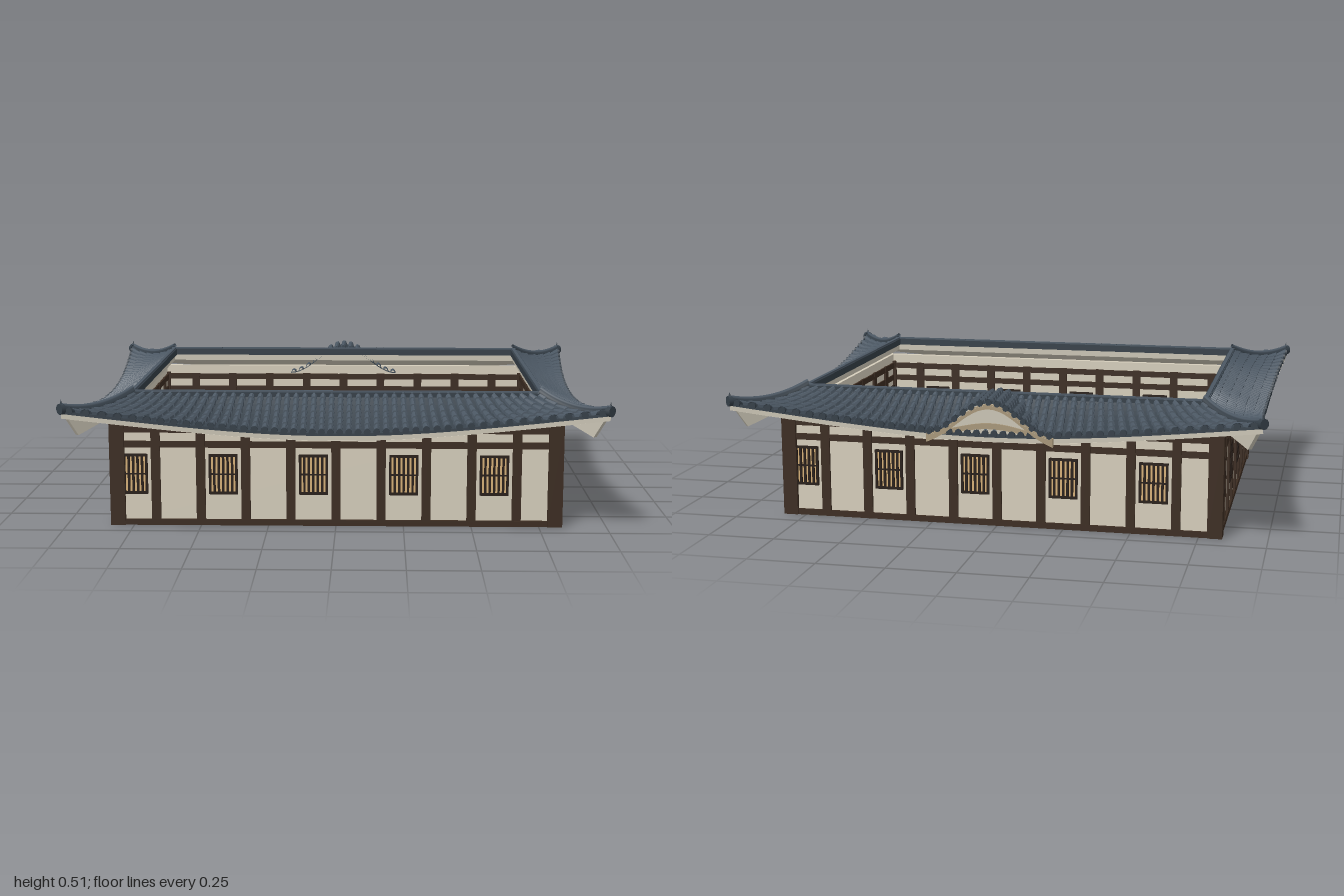
import * as THREE from 'three';
import { mergeGeometries } from 'three/addons/utils/BufferGeometryUtils.js';

const mat = (name, color, side = THREE.FrontSide) => {
  const m = new THREE.MeshStandardMaterial({ color, side });
  m.name = name;
  return m;
};

export function createModel() {
  const wood = mat('dark timber', 0x3b2b20);
  const lattice = mat('lattice timber', 0x261c16);
  const plaster = mat('wall plaster', 0xd5cdbb);
  const eavePaint = mat('eave plaster', 0xcac4b4, THREE.DoubleSide);
  const tile = mat('round tile', 0x4b5763, THREE.DoubleSide);
  const pan = mat('pan tile', 0x37414a, THREE.DoubleSide);
  const ridgeMat = mat('ridge tile', 0x343e47);
  const paper = mat('window paper', 0xd6b078);
  const earth = mat('courtyard earth', 0x796750);
  const tan = mat('gable board', 0xa8977a);

  const model = new THREE.Group();
  model.name = 'courtyardBuilding';

  const add = (parent, name, geo, material) => {
    const m = new THREE.Mesh(Array.isArray(geo) ? mergeGeometries(geo) : geo, material);
    m.name = name;
    parent.add(m);
    return m;
  };
  const box = (w, h, d, x, y, z) => new THREE.BoxGeometry(w, h, d).translate(x, y, z);

  // Faceted surface lofted over rows and columns; fn(row, col) gives a point
  const loft = (rows, cols, fn) => {
    const pos = [], idx = [];
    for (let r = 0; r < rows; r++) for (let c = 0; c < cols; c++) pos.push(...fn(r, c));
    for (let r = 0; r < rows - 1; r++) for (let c = 0; c < cols - 1; c++) {
      const a = r * cols + c, b = a + cols;
      idx.push(a, b, a + 1, b, b + 1, a + 1);
    }
    const g = new THREE.BufferGeometry();
    g.setAttribute('position', new THREE.Float32BufferAttribute(pos, 3));
    g.setIndex(idx);
    const flat = g.toNonIndexed();
    flat.computeVertexNormals();
    return flat;
  };

  // Half-round row of overlapping tiles; surf(u, v) is the roof point below it
  const tileRow = (surf, u0, halfWidth, height, courses) =>
    loft(courses * 2, 6, (r, c) => {
      const t = Math.PI * (1 - c / 5);
      const v = (Math.floor(r / 2) + (r % 2)) / courses;
      const k = r % 2 ? 1.15 : 0.8;
      const p = surf(u0 + Math.cos(t) * halfWidth * k, v);
      return [p[0], p[1] + Math.sin(t) * height * k, p[2]];
    });

  // Sagging roof slope with corners swept outward and upward
  const slope = (s) => (u, v, dy = 0) => {
    const a = Math.abs(u);
    const out = s.eave + (s.corner - s.eave) * a ** 3;
    return [
      s.inner * u + 0.225 * u ** 3 * v,
      0.485 - 0.115 * (v + 0.25 * v * (1 - v)) + 0.085 * a ** 2.2 * v * v + dy,
      s.depth + (out - s.depth) * v,
    ];
  };

  const longSide = { inner: 0.755, depth: 0.59, eave: 0.77, corner: 0.815, rows: 46, half: 0.8333, face: 0.655, bays: 10 };
  const shortSide = { inner: 0.59, depth: 0.755, eave: 0.943, corner: 0.98, rows: 38, half: 0.6667, face: 0.822, bays: 8 };

  function buildWall(g, s) {
    const mid = s.face - 0.013;
    add(g, 'wallPanel', box(s.half * 2 - 0.04, 0.405, 0.026, 0, 0.2075, mid), plaster);
    // Posts and rails show on both faces of the wall
    const frame = [
      box(s.half * 2, 0.022, 0.046, 0, 0.011, mid),
      box(s.half * 2 - 0.04, 0.024, 0.038, 0, 0.305, mid),
      box(s.half * 2 - 0.04, 0.024, 0.042, 0, 0.361, mid),
    ];
    for (let i = 1; i < s.bays; i++)
      frame.push(box(0.034, 0.375, 0.044, -s.half + i / 6, 0.1875, mid));
    add(g, 'wallFrame', frame, wood);

    const panes = [], bars = [];
    for (let i = 0; i < s.bays; i += 2) {
      const x = -s.half + (i + 0.5) / 6, y = 0.193;
      panes.push(box(0.1, 0.145, 0.03, x, y, mid));
      for (const e of [-1, 1]) {
        bars.push(box(0.009, 0.15, 0.044, x + e * 0.049, y, mid));
        bars.push(box(0.1, 0.009, 0.044, x, y + e * 0.071, mid));
      }
      // Deep bars outside, slim bars inside
      for (let k = -2; k <= 2; k++)
        bars.push(box(0.0085, 0.145, 0.015, x + k * 0.0165, y, mid + 0.0145));
      for (let k = -1; k <= 1; k++)
        bars.push(box(0.004, 0.145, 0.006, x + k * 0.025, y, mid - 0.016));
      bars.push(box(0.1, 0.006, 0.038, x, y, mid));
    }
    add(g, 'windowPanes', panes, paper);
    add(g, 'windowLattice', bars, lattice);
  }

  function buildRoof(g, s) {
    const surf = slope(s), N = 33, at = (c) => (c / (N - 1)) * 2 - 1;
    add(g, 'panTiles', loft(9, N, (r, c) => surf(at(c), r / 8)), pan);
    add(g, 'tileLip', loft(2, N, (r, c) => surf(at(c), 1, -0.01 * r)), pan);
    add(g, 'soffit', loft(7, N, (r, c) => surf(at(c), r / 6, -0.027)), eavePaint);
    add(g, 'eaveFascia', loft(2, N, (r, c) => surf(at(c), 0.995, -0.009 - 0.018 * r)), eavePaint);
    add(g, 'innerFascia', loft(2, 2, (r, c) => surf(c * 2 - 1, 0, -0.045 * r)), eavePaint);

    const rows = [], ends = [];
    for (let i = 0; i < s.rows; i++) {
      const u = ((i + 0.5) / s.rows) * 2 - 1;
      rows.push(tileRow(surf, u, 0.66 / s.rows, 0.016, 6));
      const p = surf(u, 1, 0.004);
      ends.push(new THREE.CylinderGeometry(0.0125, 0.0125, 0.012, 8).rotateX(Math.PI / 2).translate(p[0], p[1], p[2] + 0.002));
    }
    add(g, 'roundTiles', rows, tile);
    add(g, 'eaveTileEnds', ends, ridgeMat);

    // Stacked ridge around the courtyard opening
    const len = s.inner * 2 + 0.03;
    add(g, 'ridgeBase', box(len, 0.026, 0.024, 0, 0.478, s.depth + 0.002), ridgeMat);
    add(g, 'ridgeCap', box(len, 0.008, 0.014, 0, 0.493, s.depth + 0.002), tile);
  }

  // Curved hip ridge, end tile and corner rafter for the front left corner
  function buildCorner(g) {
    const surf = slope(longSide), pts = [];
    for (let i = 0; i <= 8; i++) pts.push(new THREE.Vector3(...surf(1, i / 8, 0.008)));
    const curve = new THREE.CatmullRomCurve3(pts);
    add(g, 'hipRidge', new THREE.TubeGeometry(curve, 16, 0.017, 6), ridgeMat);
    add(g, 'hipRidgeCap', new THREE.TubeGeometry(
      new THREE.CatmullRomCurve3(pts.map((p) => p.clone().setY(p.y + 0.014))), 16, 0.008, 6), tile);
    const end = new THREE.Group();
    end.name = 'hipEndTile';
    end.position.set(0.978, 0.462, 0.813);
    end.rotation.y = Math.PI / 4;
    add(end, 'endDisc', new THREE.CylinderGeometry(0.02, 0.02, 0.016, 10).rotateX(Math.PI / 2), ridgeMat);
    add(end, 'endHorn', new THREE.ConeGeometry(0.008, 0.026, 5).translate(0, 0.022, 0), ridgeMat);
    g.add(end);

    const fin = new THREE.Shape([[-0.19, 0.405], [-0.06, 0.36], [-0.01, 0.435], [-0.08, 0.43]].map((p) => new THREE.Vector2(...p)));
    const rafter = add(g, 'cornerRafter',
      new THREE.ExtrudeGeometry(fin, { depth: 0.018, bevelEnabled: false }).translate(0, 0, -0.009), eavePaint);
    rafter.position.set(0.975, 0, 0.81);
    rafter.rotation.y = -Math.PI / 4;
  }

  // Bell-curved gable over the rear eave
  function buildGable(g) {
    const W = 0.235;
    const bell = (x, amp = 0.115) => 0.373 + amp * 0.5 * (1 + Math.cos((Math.PI * x) / W));
    const vault = (u, v) => [u * W, bell(u * W) + 0.01 * (1 - v), 0.585 + 0.2 * v];
    add(g, 'gableRoof', loft(2, 25, (r, c) => vault(c / 12 - 1, r)), pan);
    add(g, 'gableSoffit', loft(2, 25, (r, c) => {
      const p = vault(c / 12 - 1, 0.5 + r / 2);
      return [p[0], p[1] - 0.008, p[2]];
    }), eavePaint);
    const rows = [], ends = [];
    for (let i = -7; i <= 7; i++) {
      const u = i / 7.4, p = vault(u, 1);
      rows.push(tileRow(vault, u, 0.045, 0.015, 6));
      ends.push(new THREE.CylinderGeometry(0.011, 0.011, 0.008, 8).rotateX(Math.PI / 2).translate(p[0], p[1] + 0.003, p[2]));
    }
    add(g, 'gableTiles', rows, tile);
    add(g, 'gableTileEnds', ends, ridgeMat);

    // Band between an upper and a lower curve
    const band = (top, bottom, w, depth, z) => {
      const pts = [];
      for (let i = 0; i <= 24; i++) pts.push(new THREE.Vector2((i / 12 - 1) * w, bottom((i / 12 - 1) * w)));
      for (let i = 24; i >= 0; i--) pts.push(new THREE.Vector2((i / 12 - 1) * w, top((i / 12 - 1) * w)));
      return new THREE.ExtrudeGeometry(new THREE.Shape(pts), { depth, bevelEnabled: false }).translate(0, 0, z);
    };
    add(g, 'gableBoard', band((x) => bell(x) - 0.004, (x) => bell(x) - 0.022 - 0.015 * (x / W) ** 6, W, 0.014, 0.77), tan);
    add(g, 'gableInfill', band((x) => bell(x) - 0.006, () => 0.355, 0.225, 0.01, 0.755), eavePaint);
    add(g, 'gableBeam', band((x) => bell(x, 0.035) + 0.004, (x) => bell(x, 0.03) - 0.012, 0.215, 0.008, 0.764), tan);
  }

  // Four sides, each built facing forward and turned into place
  ['front', 'right', 'back', 'left'].forEach((name, i) => {
    const g = new THREE.Group(), s = i % 2 ? shortSide : longSide;
    g.name = name + 'Side';
    g.rotation.y = (i * Math.PI) / 2;
    buildWall(g, s);
    buildRoof(g, s);
    if (name === 'back') buildGable(g);
    model.add(g);
  });

  // Corner posts, hips and floor
  const posts = [];
  for (const sx of [-1, 1]) for (const sz of [-1, 1]) {
    posts.push(box(0.055, 0.38, 0.055, sx * 0.809, 0.19, sz * 0.642));
    const g = new THREE.Group();
    g.name = 'roofCorner';
    buildCorner(g);
    g.scale.set(sx, 1, sz);
    model.add(g);
  }
  add(model, 'cornerPosts', posts, wood);
  add(model, 'courtyardFloor', box(1.64, 0.014, 1.3, 0, 0.008, 0), earth);
  return model;
}
